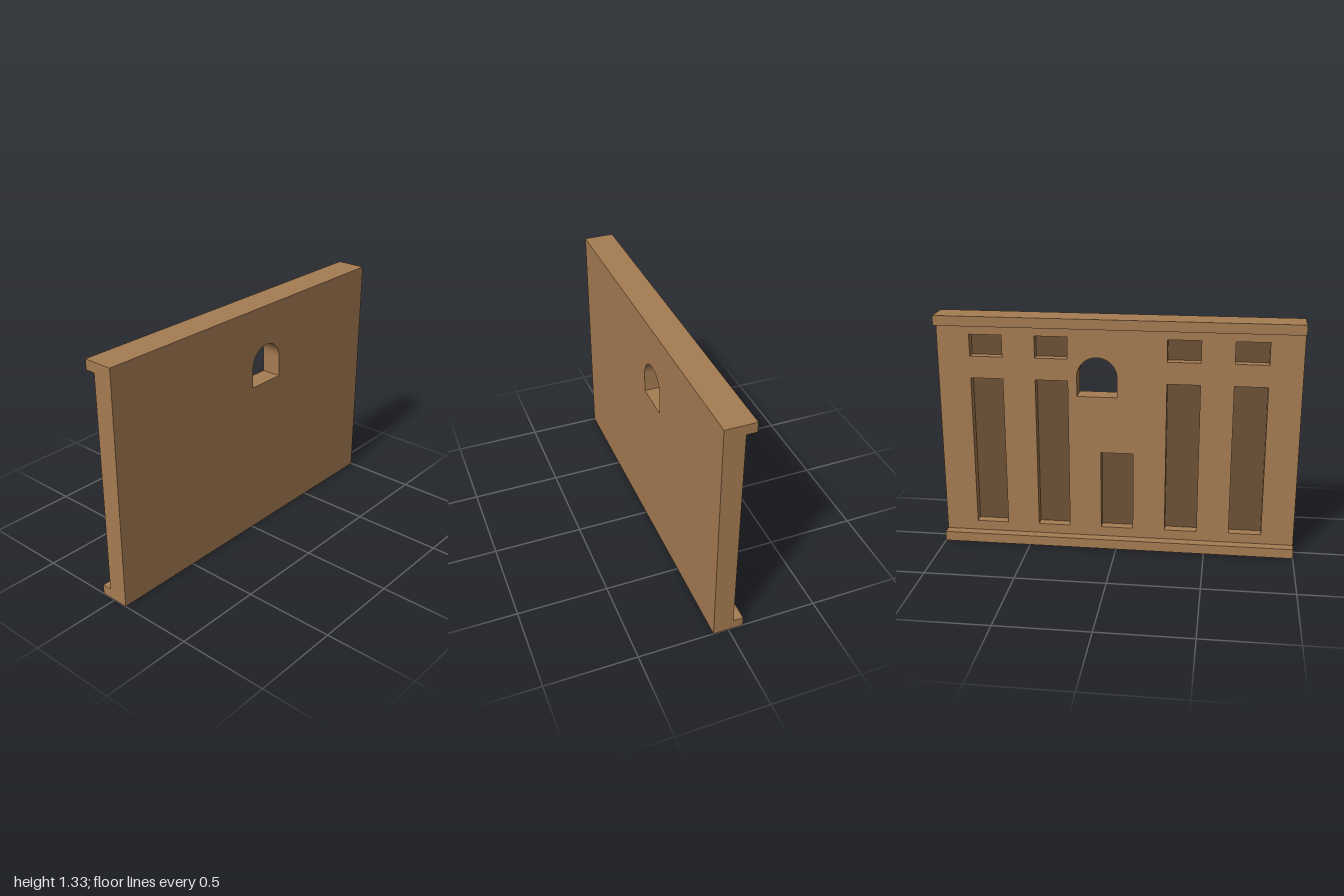
import * as THREE from 'three';

const U = 1 / 18;          // one module: the wall is 36 x 24 x 3 modules
const LENGTH = 36 * U, HEIGHT = 24 * U;
const BAY = LENGTH / 11;   // pockets and piers share the same width
const ROW = 20 * U / 9;    // vertical rhythm of the pockets

const timber = new THREE.MeshStandardMaterial({ color: 0xa67c52 });
const shade = new THREE.MeshStandardMaterial({ color: 0x6e5238 });

// Shapes are drawn in (u, y) with u = -z
function rectPoints(path, u0, u1, y0, y1) {
  path.moveTo(u0, y0).lineTo(u1, y0).lineTo(u1, y1).lineTo(u0, y1).closePath();
  return path;
}

// Round-headed window opening
function windowHole() {
  const hole = new THREE.Path();
  hole.moveTo(0, 16 * U);
  hole.lineTo(4 * U, 16 * U);
  hole.lineTo(4 * U, 18 * U);
  hole.absarc(2 * U, 18 * U, 2 * U, 0, Math.PI, false);
  hole.closePath();
  return hole;
}

// Pocket list: [centre z, bottom, top]
function pocketList() {
  const list = [];
  for (let i = -2; i <= 2; i++) {
    const z = i * 2 * BAY, bottom = 2 * U;
    if (i === 0) {
      list.push([z, bottom, 0.565]);
    } else {
      list.push([z, bottom, bottom + 7 * ROW]);
      list.push([z, bottom + 8 * ROW, bottom + 9 * ROW]);
    }
  }
  return list;
}

// Upright slab, one module thick, starting at x
function slab(name, x, holes) {
  const shape = rectPoints(new THREE.Shape(), -LENGTH / 2, LENGTH / 2, 0, HEIGHT);
  shape.holes.push(...holes);
  const geo = new THREE.ExtrudeGeometry(shape, { depth: U, bevelEnabled: false, curveSegments: 24 });
  // thickness is one module per layer
  geo.rotateY(Math.PI / 2).translate(x, 0, 0);
  const mesh = new THREE.Mesh(geo, timber);
  mesh.name = name;
  return mesh;
}

export function createModel() {
  const group = new THREE.Group();
  group.name = 'wallPanel';
  const pockets = pocketList();

  // Solid outer layer and pierced inner layer
  group.add(slab('outerWall', U / 2, [windowHole()]));
  const holes = pockets.map(([z, y0, y1]) =>
    rectPoints(new THREE.Path(), -z - BAY / 2, -z + BAY / 2, y0, y1));
  group.add(slab('pocketedWall', -U / 2, [windowHole(), ...holes]));

  // Dark backs of the pockets, facing -x
  pockets.forEach(([z, y0, y1], i) => {
    const back = new THREE.Mesh(new THREE.PlaneGeometry(BAY, y1 - y0), shade);
    back.rotation.y = -Math.PI / 2;
    back.position.set(U / 2 - 0.001, (y0 + y1) / 2, z);
    back.name = `pocketBack${i + 1}`;
    group.add(back);
  });

  // Projecting rails along the bottom and top
  for (const [name, y] of [['bottomRail', U / 2], ['topRail', HEIGHT - U / 2]]) {
    const rail = new THREE.Mesh(new THREE.BoxGeometry(U, U, LENGTH), timber);
    rail.position.set(-U, y, 0);
    rail.name = name;
    group.add(rail);
  }
  return group;
}
